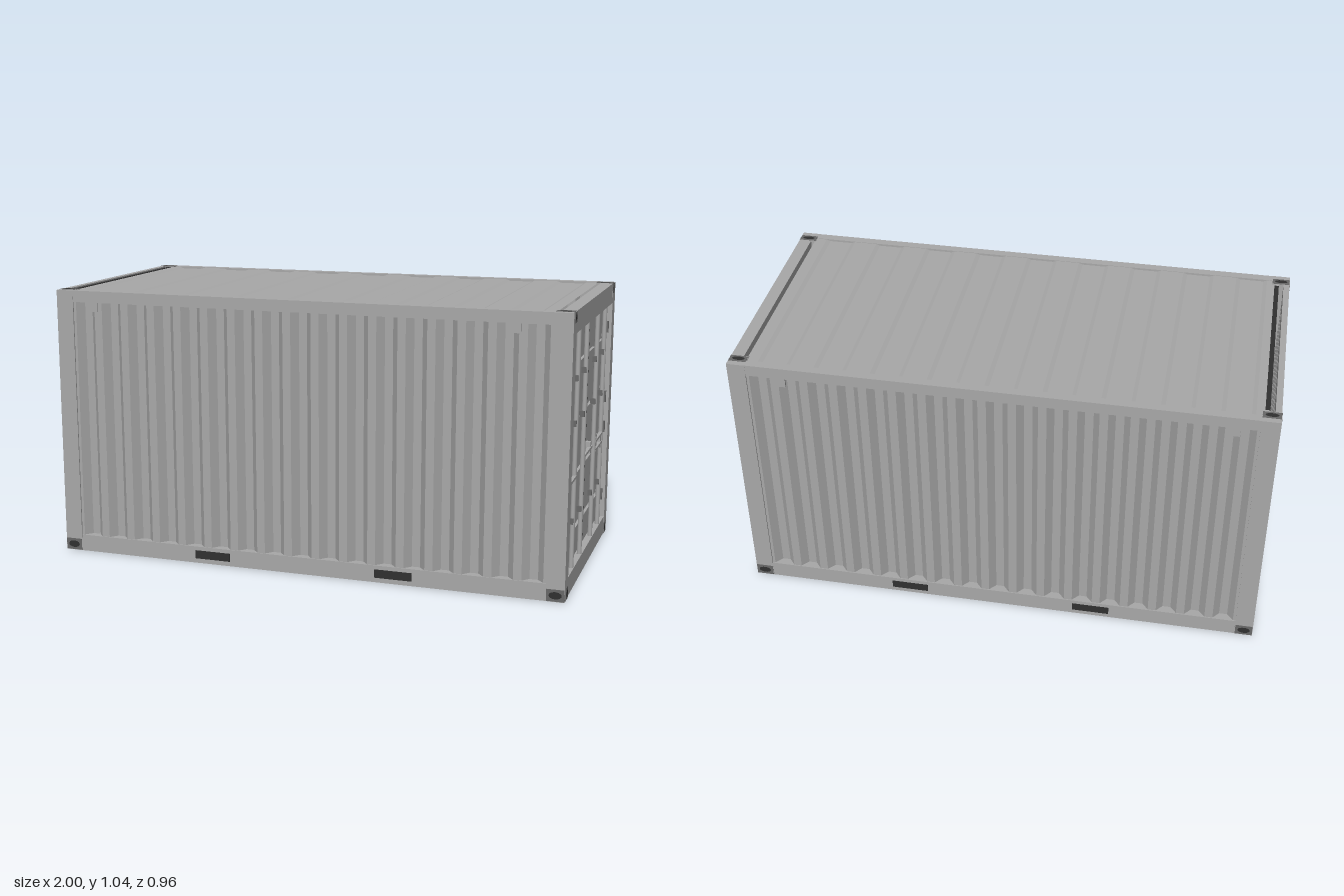
import * as THREE from 'three';

const paint = new THREE.MeshStandardMaterial({ color: 0xa8a8a8, side: THREE.DoubleSide });
paint.name = 'grey paint';
const steel = new THREE.MeshStandardMaterial({ color: 0x686868 });
steel.name = 'dark steel';
const black = new THREE.MeshStandardMaterial({ color: 0x303030 });
black.name = 'black rubber';

export function createModel() {
  const root = new THREE.Group();
  root.name = 'shippingContainer';

  const add = (name, geometry, material, x = 0, y = 0, z = 0, parent = root) => {
    const mesh = new THREE.Mesh(geometry, material);
    mesh.name = name;
    mesh.position.set(x, y, z);
    parent.add(mesh);
    return mesh;
  };
  // box given by its limits on each axis
  const box = (name, material, x0, x1, y0, y1, z0, z1) =>
    add(name, new THREE.BoxGeometry(x1 - x0, y1 - y0, z1 - z0), material,
      (x0 + x1) / 2, (y0 + y1) / 2, (z0 + z1) / 2);

  // trapezoid-folded sheet facing +z, ribs running along y
  const corrugated = (width, height, ribs, depth, slope) => {
    const period = width / ribs;
    const flat = period / 2 - slope;
    const profile = [];
    for (let i = 0; i < ribs; i++) {
      const x = -width / 2 + i * period;
      profile.push([x, 0], [x + flat / 2, 0], [x + flat / 2 + slope, -depth],
        [x + flat * 1.5 + slope, -depth], [x + flat * 1.5 + 2 * slope, 0]);
    }
    profile.push([width / 2, 0]);
    const pos = [];
    for (let i = 0; i < profile.length - 1; i++) {
      const [a, za] = profile[i], [b, zb] = profile[i + 1];
      const t = height / 2;
      pos.push(a, -t, za, b, -t, zb, b, t, zb, a, -t, za, b, t, zb, a, t, za);
    }
    const g = new THREE.BufferGeometry();
    g.setAttribute('position', new THREE.Float32BufferAttribute(pos, 3));
    g.computeVertexNormals();
    return g;
  };

  // corner posts and long rails
  for (const s of [-1, 1]) {
    const z0 = s > 0 ? 0.42 : -0.48, z1 = s > 0 ? 0.48 : -0.42;
    box('doorPost', paint, 0.93, 0.999, 0, 1.039, z0, z1);
    box('rearPost', paint, -0.999, -0.93, 0, 1.039, z0, z1);
    const r0 = s > 0 ? 0.445 : -0.479, r1 = s > 0 ? 0.479 : -0.445;
    box('topSideRail', paint, -0.93, 0.93, 0.995, 1.039, r0, r1);
    box('bottomSideRail', paint, -0.93, 0.93, 0, 0.065, r0, r1);
    // corrugated side wall
    const wall = add('sideWall', corrugated(1.87, 0.95, 17, 0.028, 0.024), paint, 0, 0.53, s * 0.475);
    if (s < 0) wall.rotation.y = Math.PI;
    // forklift pockets and small lashing clips
    for (const x of [-0.365, 0.36]) box('forkPocket', black, x - 0.072, x + 0.072, 0.018, 0.05, s * 0.479 - 0.002, s * 0.479 + 0.002);
    for (const x of [-0.845, 0.8]) box('lashingClip', paint, x - 0.018, x + 0.018, 0.96, 0.998, s * 0.475 - 0.004, s * 0.475 + 0.004);
  }

  // end rails
  box('doorHeader', paint, 0.95, 0.998, 0.96, 1.039, -0.42, 0.42);
  box('doorSill', paint, 0.95, 0.998, 0.003, 0.075, -0.42, 0.42);
  box('rearTopRail', paint, -0.998, -0.975, 0.985, 1.039, -0.42, 0.42);
  box('rearBottomRail', paint, -0.998, -0.975, 0.003, 0.075, -0.42, 0.42);

  // corrugated rear wall
  add('rearWall', corrugated(0.84, 0.93, 8, 0.02, 0.02), paint, -0.995, 0.525, 0).rotation.y = -Math.PI / 2;

  // roof with shallow folds, leaving a slot beside each end rail
  add('roof', corrugated(1.89, 0.89, 9, 0.006, 0.015), paint, -0.01, 1.037, 0).rotation.x = -Math.PI / 2;
  box('roofEndSeal', black, -0.957, -0.94, 1.034, 1.0385, -0.41, 0.41);

  // underside
  add('floor', new THREE.PlaneGeometry(1.94, 0.92), black, 0.015, 0.001, 0).rotation.x = Math.PI / 2;

  // corner castings: recessed-looking plates with an oval socket
  const casting = (w, h, x, y, z, rx, ry) => {
    const g = new THREE.Group();
    g.name = 'cornerCasting';
    g.position.set(x, y, z);
    g.rotation.set(rx, ry, 0);
    root.add(g);
    add('castingPlate', new THREE.BoxGeometry(w, h, 0.002), steel, 0, 0, 0, g);
    add('castingSocket', new THREE.CircleGeometry(1, 20), black, 0, 0, 0.0015, g).scale.set(w * 0.36, h * 0.3, 1);
  };
  for (const sx of [-1, 1]) for (const sz of [-1, 1]) {
    casting(0.035, 0.038, sx * 0.999, 1.019, sz * 0.4375, 0, sx * Math.PI / 2);
    casting(0.035, 0.045, sx * 0.999, 0.024, sz * 0.4375, 0, sx * Math.PI / 2);
    casting(0.066, 0.045, sx * 0.965, 0.024, sz * 0.48, 0, sz > 0 ? 0 : Math.PI);
    casting(0.066, 0.035, sx * 0.965, 1.039, sz * 0.44, -Math.PI / 2, 0);
    casting(0.066, 0.035, sx * 0.965, 0, sz * 0.44, Math.PI / 2, 0);
  }

  // door gasket seen around and between the leaves
  box('doorGasket', black, 0.952, 0.962, 0.075, 0.96, -0.42, 0.42);
  box('centreSeal', black, 0.962, 0.977, 0.078, 0.957, -0.007, 0.007);

  // door leaf with four pressed grooves, the upper one stepped
  const path = (Type, pts) => new Type(pts.map(([a, b]) => new THREE.Vector2(a, b)));
  const leaf = path(THREE.Shape, [[0.008, 0.081], [0.414, 0.081], [0.414, 0.954], [0.008, 0.954]]);
  for (const [y0, y1] of [[0.185, 0.212], [0.4, 0.425], [0.612, 0.64]])
    leaf.holes.push(path(THREE.Path, [[0.027, y0], [0.027, y1], [0.395, y1], [0.395, y0]]));
  leaf.holes.push(path(THREE.Path, [[0.027, 0.823], [0.027, 0.85], [0.395, 0.85], [0.395, 0.823],
    [0.257, 0.823], [0.257, 0.797], [0.163, 0.797], [0.163, 0.823]]));
  const leafGeometry = new THREE.ExtrudeGeometry(leaf, { depth: 0.012, bevelEnabled: false });
  leafGeometry.rotateY(Math.PI / 2);
  for (const s of [-1, 1]) {
    const front = leafGeometry.clone();
    if (s > 0) front.translate(0, 0, 0.422); // leaf is symmetric, so slide it across
    add('doorLeaf', front, paint, 0.963, 0, 0);
    const c = s * 0.211;
    box('doorBacking', paint, 0.961, 0.9645, 0.082, 0.953, c - 0.2, c + 0.2);
    // hinges
    for (const y of [0.865, 0.58, 0.455, 0.17])
      box('hinge', steel, 0.965, 0.988, y - 0.023, y + 0.023, s * 0.415 - 0.005, s * 0.415 + 0.005);
    // lock rods with their guides
    for (const z of [0.123, 0.3]) {
      add('lockRod', new THREE.CylinderGeometry(0.009, 0.009, 0.884, 12), paint, 0.988, 0.518, s * z);
      for (const y of [0.783, 0.618, 0.254])
        box('rodGuide', steel, 0.972, 0.992, y - 0.011, y + 0.011, s * z - 0.016, s * z + 0.016);
    }
  }

  // lock handles and their catch plates
  const handle = (y, z0, z1) => box('lockHandle', paint, 0.984, 0.997, y - 0.005, y + 0.005, z0, z1);
  handle(0.455, -0.045, 0.12);
  handle(0.42, 0.3, 0.418);
  handle(0.455, -0.3, -0.135);
  handle(0.42, -0.295, -0.13);
  for (const [z, y] of [[-0.024, 0.455], [-0.157, 0.455], [-0.27, 0.423]])
    box('handleCatch', paint, 0.974, 0.994, y - 0.023, y + 0.023, z - 0.012, z + 0.012);

  return root;
}
